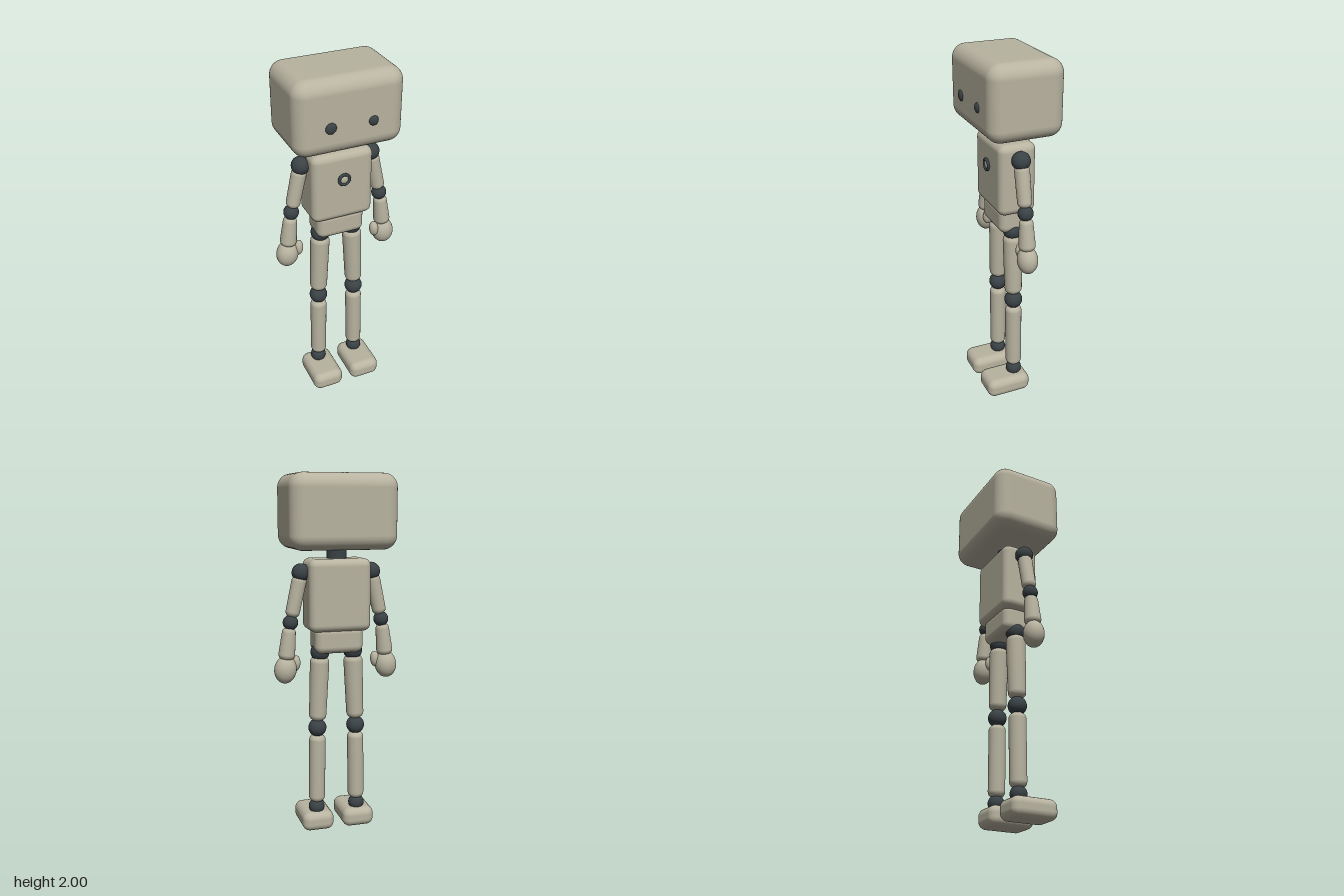
import * as THREE from 'three';
import { RoundedBoxGeometry } from 'three/addons/geometries/RoundedBoxGeometry.js';

const shell = new THREE.MeshStandardMaterial({ color: 0xb8b3a0 });
shell.name = 'warm grey shell';
const joint = new THREE.MeshStandardMaterial({ color: 0x3a4246 });
joint.name = 'dark joint';

const Z = -0.004; // depth of the body's centre plane

function add(parent, name, geometry, material, x, y, z = Z) {
  const mesh = new THREE.Mesh(geometry, material);
  mesh.name = name;
  mesh.position.set(x, y, z);
  parent.add(mesh);
  return mesh;
}

const box = (w, h, d, r) => new RoundedBoxGeometry(w, h, d, 6, r);
const ball = (r, sx = 1, sy = 1, sz = 1) => new THREE.SphereGeometry(r, 32, 20).scale(sx, sy, sz);

// Limb segment: tapered tube with rounded rims, from a (top) to b (bottom)
function limb(parent, name, a, b, rTop, rBottom, rim = 0.03) {
  const from = new THREE.Vector2(...a), to = new THREE.Vector2(...b);
  const half = from.distanceTo(to) / 2;
  const profile = [new THREE.Vector2(0, -half)];
  for (let i = 0; i <= 6; i++) {
    const t = (i / 6) * Math.PI / 2;
    profile.push(new THREE.Vector2(rBottom - rim + rim * Math.sin(t), -half + rim - rim * Math.cos(t)));
  }
  for (let i = 0; i <= 6; i++) {
    const t = (i / 6) * Math.PI / 2;
    profile.push(new THREE.Vector2(rTop - rim + rim * Math.cos(t), half - rim + rim * Math.sin(t)));
  }
  profile.push(new THREE.Vector2(0, half));
  const mesh = add(parent, name, new THREE.LatheGeometry(profile, 32), shell, (a[0] + b[0]) / 2, (a[1] + b[1]) / 2);
  mesh.rotation.z = Math.atan2(b[0] - a[0], a[1] - b[1]);
}

function createArm(side, label) {
  const arm = new THREE.Group();
  arm.name = label + 'Arm';
  add(arm, 'shoulder', ball(0.05), joint, side * 0.2, 1.476);
  limb(arm, 'upperArm', [side * 0.205, 1.457], [side * 0.254, 1.235], 0.041, 0.039);
  add(arm, 'elbow', ball(0.042), joint, side * 0.261, 1.206);
  limb(arm, 'forearm', [side * 0.267, 1.18], [side * 0.287, 1.0], 0.038, 0.046);
  const hand = add(arm, 'hand', ball(1, 0.062, 0.077, 0.056), shell, side * 0.292, 0.945);
  hand.rotation.z = side * 0.12;
  const thumb = add(arm, 'thumb', ball(1, 0.026, 0.045, 0.028), shell, side * 0.231, 0.975, 0.008);
  thumb.rotation.z = side * 0.08;
  return arm;
}

function createLeg(side, label) {
  const leg = new THREE.Group();
  leg.name = label + 'Leg';
  add(leg, 'hip', ball(0.053), joint, side * 0.095, 1.035);
  limb(leg, 'thigh', [side * 0.096, 1.01], [side * 0.111, 0.642], 0.054, 0.049, 0.035);
  add(leg, 'knee', ball(0.051), joint, side * 0.112, 0.6);
  limb(leg, 'shin', [side * 0.112, 0.56], [side * 0.117, 0.16], 0.047, 0.046, 0.033);
  add(leg, 'ankle', ball(0.045), joint, side * 0.119, 0.13);
  add(leg, 'foot', box(0.182, 0.11, 0.26, 0.042), shell, side * 0.119, 0.055, 0.053);
  return leg;
}

export function createModel() {
  const robot = new THREE.Group();
  robot.name = 'robot';

  // Head with flat button eyes
  add(robot, 'head', box(0.59, 0.4, 0.41, 0.075), shell, 0, 1.8, -0.007);
  add(robot, 'leftEye', ball(1, 0.026, 0.026, 0.014), joint, 0.114, 1.758, 0.197);
  add(robot, 'rightEye', ball(1, 0.03, 0.03, 0.014), joint, -0.114, 1.758, 0.197);

  // Trunk
  add(robot, 'neck', new THREE.CylinderGeometry(0.055, 0.055, 0.14, 32), joint, 0, 1.575);
  add(robot, 'torso', box(0.346, 0.396, 0.21, 0.04), shell, 0, 1.353);
  add(robot, 'pelvis', box(0.272, 0.15, 0.168, 0.04), shell, 0, 1.107);

  // Chest button with dark ring
  add(robot, 'buttonRing', new THREE.TorusGeometry(0.029, 0.008, 12, 32), joint, 0, 1.402, 0.107);
  add(robot, 'button', ball(1, 0.025, 0.025, 0.012), shell, 0, 1.402, 0.102);

  for (const [side, label] of [[1, 'left'], [-1, 'right']]) {
    robot.add(createArm(side, label), createLeg(side, label));
  }
  return robot;
}
